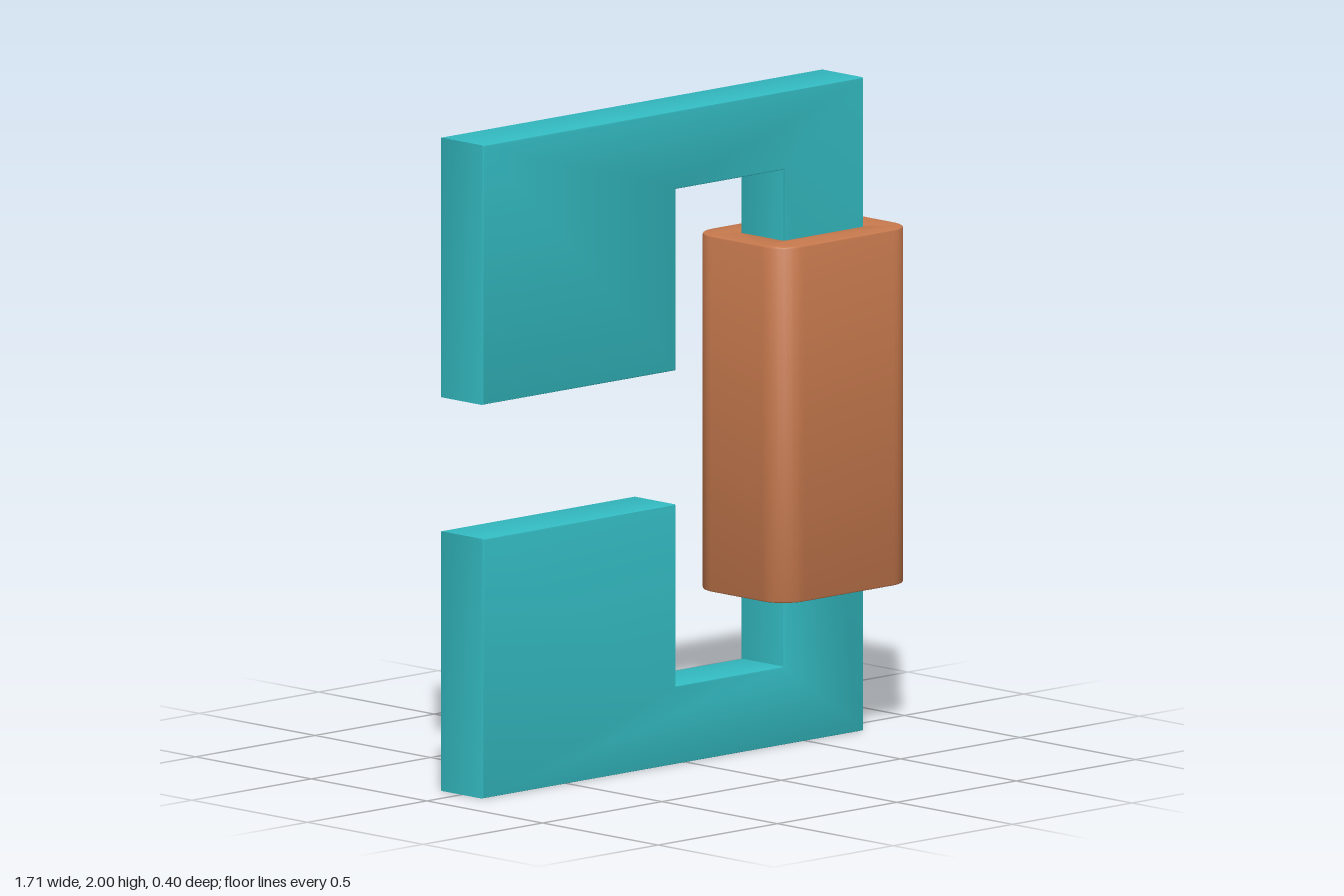
import * as THREE from 'three';
import { toCreasedNormals } from 'three/addons/utils/BufferGeometryUtils.js';

const EDGE = 0.006; // small softened edge on every part

// Rounded rectangle outline centred on (cx, 0)
function roundedRect(path, cx, halfW, halfH, r) {
  const corners = [[1, -1, -Math.PI / 2], [1, 1, 0], [-1, 1, Math.PI / 2], [-1, -1, Math.PI]];
  for (const [sx, sy, a] of corners) {
    path.absarc(cx + sx * (halfW - r), sy * (halfH - r), r, a, a + Math.PI / 2, false);
  }
  path.closePath();
  return path;
}

// Extrude a shape to an exact overall depth, with bevels kept inside its outline
function extrude(shape, depth) {
  const geometry = new THREE.ExtrudeGeometry(shape, {
    depth: depth - 2 * EDGE,
    bevelEnabled: true,
    bevelThickness: EDGE,
    bevelSize: EDGE,
    bevelOffset: -EDGE,
    bevelSegments: 2,
    curveSegments: 10,
  });
  geometry.translate(0, 0, EDGE - depth / 2);
  return geometry;
}

function part(name, geometry, color) {
  const mesh = new THREE.Mesh(
    toCreasedNormals(geometry, 0.6),
    new THREE.MeshStandardMaterial({ color }),
  );
  mesh.name = name;
  return mesh;
}

export function createModel() {
  const model = new THREE.Group();
  model.name = 'electromagnet';

  // C-shaped core with two broad pole pieces facing each other across the gap
  const half = [[0.74, 0], [0.74, 2], [-0.855, 2], [-0.855, 1.205], [-0.045, 1.205], [-0.045, 1.76], [0.405, 1.76]];
  const lower = [[0.405, 0.24], [-0.045, 0.24], [-0.045, 0.795], [-0.855, 0.795], [-0.855, 0]];
  const outline = [...half, ...lower].map(([x, y]) => new THREE.Vector2(x, y));
  model.add(part('core', extrude(new THREE.Shape(outline), 0.185), 0x33bbc2));

  // Coil sleeve wrapped around the upright of the core
  const sleeve = roundedRect(new THREE.Shape(), 0.575, 0.278, 0.2, 0.09);
  sleeve.holes.push(roundedRect(new THREE.Path(), 0.5725, 0.1685, 0.0935, 0.004));
  const coil = extrude(sleeve, 1.09);
  coil.rotateX(-Math.PI / 2);
  coil.translate(0, 1, 0);
  model.add(part('coil', coil, 0xc87a4e));

  return model;
}
